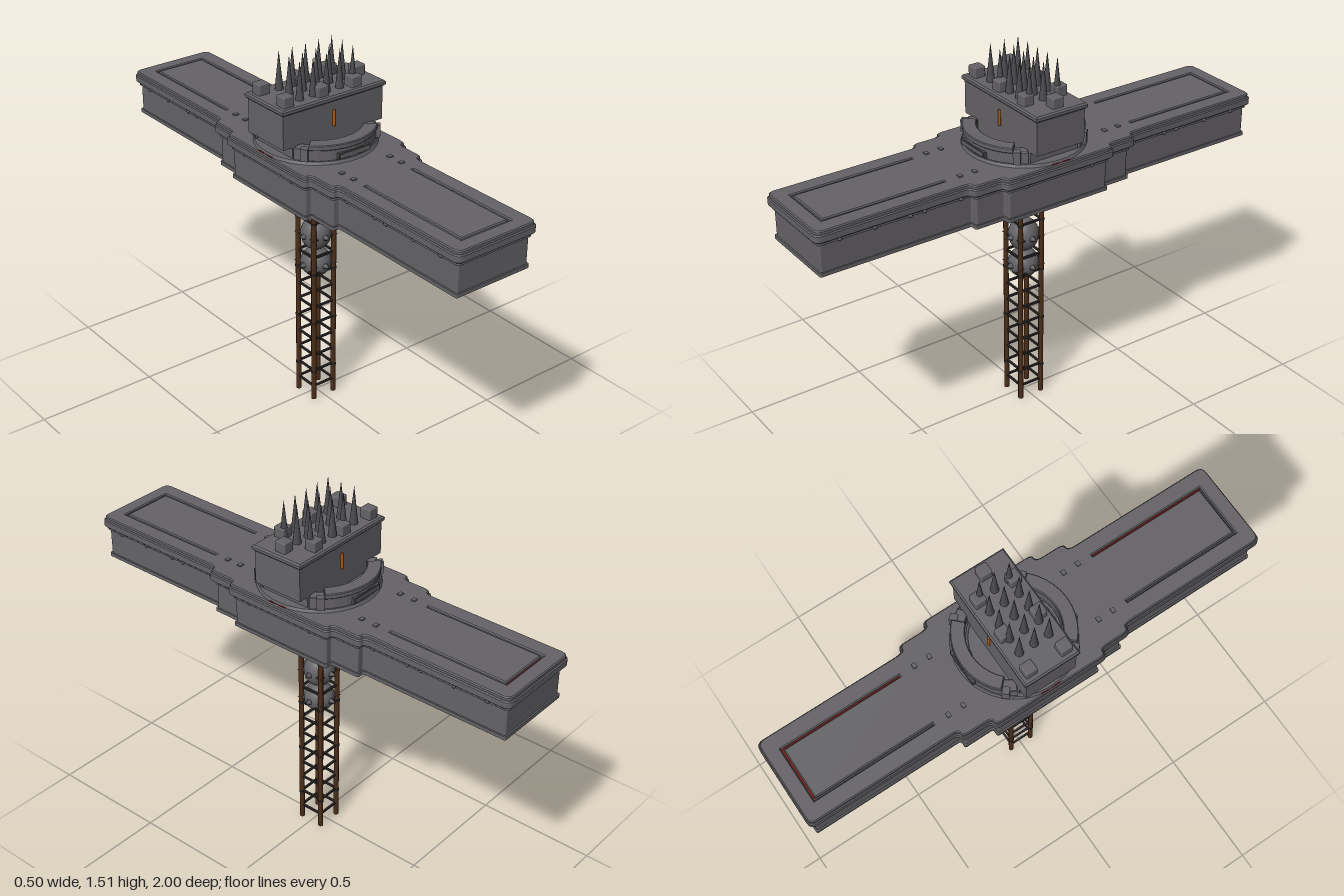
import * as THREE from 'three';
import { RoundedBoxGeometry } from 'three/addons/geometries/RoundedBoxGeometry.js';

const mat = (name, color) => {
  const m = new THREE.MeshStandardMaterial({ color });
  m.name = name;
  return m;
};
const faceted = (geo) => {
  const g = geo.toNonIndexed();
  g.computeVertexNormals();
  return g;
};

export function createModel() {
  const stone = mat('grey stone', 0x656367);
  const iron = mat('dark iron', 0x4c4b4e);
  const black = mat('black iron', 0x2b2829);
  const wood = mat('brown post', 0x4c2f1a);
  const orange = mat('orange glow', 0xb0560a);
  const red = mat('dark red', 0x7a1414);
  const root = new THREE.Group();
  root.name = 'spikedPlatform';

  const add = (name, geo, m, x = 0, y = 0, z = 0) => {
    const mesh = new THREE.Mesh(geo, m);
    mesh.name = name;
    mesh.position.set(x, y, z);
    root.add(mesh);
    return mesh;
  };
  const box = (name, m, w, h, d, x, y, z) => add(name, new THREE.BoxGeometry(w, h, d), m, x, y, z);

  // Stepped deck outline, inset by d, with rounded corners
  const outline = (d, r) => {
    const q = [[0.188 - d, 1 - d], [0.188 - d, 0.372 - d], [0.218 - d, 0.372 - d],
      [0.218 - d, 0.247 - d], [0.248 - d, 0.247 - d]];
    const down = q.concat(q.map(([x, z]) => [x, -z]).reverse());
    const pts = down.concat(down.map(([x, z]) => [-x, z]).reverse()).map((p) => new THREE.Vector2(...p));
    pts.reverse();
    const s = new THREE.Shape();
    pts.forEach((p, i) => {
      const a = pts[(i + pts.length - 1) % pts.length];
      const b = pts[(i + 1) % pts.length];
      const toward = (t) => p.clone().add(t.clone().sub(p).setLength(Math.min(r, t.distanceTo(p) * 0.45)));
      const p0 = toward(a), p1 = toward(b);
      if (i) s.lineTo(p0.x, p0.y); else s.moveTo(p0.x, p0.y);
      s.quadraticCurveTo(p.x, p.y, p1.x, p1.y);
    });
    return s;
  };
  // Upright extrusion from y0 to y1 with an optional bevel
  const slab = (name, shape, y0, y1, bevel = 0) => {
    const geo = new THREE.ExtrudeGeometry(shape, {
      depth: y1 - y0 - 2 * bevel, curveSegments: 5, bevelEnabled: bevel > 0,
      bevelSize: bevel, bevelThickness: bevel, bevelOffset: -bevel, bevelSegments: 1,
    });
    geo.rotateX(-Math.PI / 2);
    return add(name, geo, stone, 0, y0 + bevel, 0);
  };

  // Deck: foot rim, walls, neck and flange
  slab('deckFootRim', outline(0.016, 0.008), 0.96, 0.975);
  slab('deckWalls', outline(0.022, 0.008), 0.975, 1.085);
  slab('deckNeck', outline(0.014, 0.015), 1.085, 1.1);
  slab('deckFlange', outline(0, 0.03), 1.1, 1.132, 0.004);

  // Deck top with a U-shaped groove cut into each wing
  const top = outline(0.005, 0.03);
  for (const s of [-1, 1]) {
    const u = [[-0.116, 0.43], [-0.116, 0.936], [0.116, 0.936], [0.116, 0.43],
      [0.108, 0.43], [0.108, 0.928], [-0.108, 0.928], [-0.108, 0.43]];
    top.holes.push(new THREE.Path(u.map(([x, z]) => new THREE.Vector2(x, s * z))));
  }
  slab('deckTop', top, 1.126, 1.146, 0.004);

  // Groove floors
  for (const s of [-1, 1]) {
    box('grooveLeft', red, 0.008, 0.004, 0.506, 0.112, 1.133, s * 0.683);
    box('grooveRight', iron, 0.008, 0.004, 0.506, -0.112, 1.133, s * 0.683);
    box('grooveEnd', s < 0 ? red : iron, 0.216, 0.004, 0.008, 0, 1.133, s * 0.932);
    box('sideInlay', red, 0.006, 0.006, 0.08, s * 0.236, 1.146, 0);
  }

  // Studs below the flange and bolts on the deck
  for (const sx of [-1, 1]) for (const sz of [-1, 1]) {
    for (const [x, z] of [[0.172, 0.9], [0.172, 0.76], [0.172, 0.615], [0.172, 0.555], [0.172, 0.4], [0.23, 0.15]]) {
      add('flangeStud', new THREE.SphereGeometry(0.009, 8, 6), stone, sx * x, 1.09, sz * z);
    }
    for (const z of [0.3, 0.365]) box('deckBolt', stone, 0.02, 0.008, 0.016, sx * 0.114, 1.147, sz * z);
  }

  // Turntable disc and the two curved parapets
  add('turntable', new THREE.CylinderGeometry(0.234, 0.24, 0.012, 40), stone, 0, 1.151, 0);
  add('turntableRing', new THREE.TorusGeometry(0.175, 0.005, 6, 40).rotateX(Math.PI / 2), stone, 0, 1.158, 0);
  const arc = (r0, r1, half, side) => {
    const c = side * Math.PI / 2;
    const s = new THREE.Shape();
    s.absarc(0, 0, r1, c - half, c + half, false);
    s.absarc(0, 0, r0, c + half, c - half, true);
    s.closePath();
    return s;
  };
  for (const side of [-1, 1]) {
    slab('parapetBase', arc(0.185, 0.23, 1.03, side), 1.155, 1.205, 0.003);
    slab('parapetCap', arc(0.18, 0.235, 0.78, side), 1.2, 1.221, 0.003);
    box('parapetSlot', iron, 0.15, 0.024, 0.012, 0, 1.175, side * 0.226);
    box('parapetPlate', stone, 0.14, 0.016, 0.014, 0, 1.175, side * 0.228);
    for (const sx of [-1, 1]) {
      const b = box('parapetButtress', stone, 0.028, 0.05, 0.03, sx * 0.172, 1.185, side * 0.152);
      b.rotation.y = sx * side * 0.85;
    }
  }

  // Keep: base, main block, bevelled lid
  const rect = (w, d) => new THREE.Shape([[-w, -d], [w, -d], [w, d], [-w, d]].map((p) => new THREE.Vector2(...p)));
  slab('keepBase', rect(0.195, 0.108), 1.15, 1.2);
  slab('keepBlock', rect(0.236, 0.108), 1.2, 1.342);
  slab('keepLid', rect(0.244, 0.117), 1.337, 1.36, 0.006);
  // Diamond-section glowing slits
  for (const s of [-1, 1]) {
    add('glowSlit', faceted(new THREE.CylinderGeometry(0.007, 0.007, 0.064, 4)), orange, 0, 1.27, s * 0.11);
  }

  // Battlement blocks
  for (const [x, z] of [[-0.2, 0.075], [-0.2, -0.075], [-0.04, 0.075], [-0.04, -0.075],
    [0.118, 0.075], [0.118, -0.075], [0.196, 0]]) {
    add('battlement', new RoundedBoxGeometry(0.048, 0.05, 0.048, 2, 0.005), stone, x, 1.377, z);
  }
  // Grid of roof spikes
  for (let i = -2; i <= 2; i++) for (let j = -1; j <= 1; j++) {
    add('roofSpike', new THREE.ConeGeometry(0.0175, 0.16, 10), iron, i * 0.0625, 1.435, j * 0.063);
  }

  // Hanging funnel
  const prof = [[0, 0.81], [0.006, 0.81], [0.036, 0.885], [0.05, 0.885], [0.098, 0.935], [0.102, 0.94], [0.102, 0.962]];
  add('funnel', faceted(new THREE.LatheGeometry(prof.map((p) => new THREE.Vector2(...p)), 24)), stone);

  // Spiked balls hung below the funnel
  for (const [y, ry] of [[0.738, 0.07], [0.61, 0.062]]) {
    add('spikedBall', new THREE.SphereGeometry(0.062, 20, 14), stone, 0, y, 0).scale.y = ry / 0.062;
    for (let k = 0; k < 8; k++) {
      const dir = new THREE.Vector3(Math.sin(k * Math.PI / 4), 0, Math.cos(k * Math.PI / 4));
      const sp = add('ballSpike', new THREE.ConeGeometry(0.016, 0.034, 8), iron, dir.x * 0.07, y, dir.z * 0.07);
      sp.quaternion.setFromUnitVectors(new THREE.Vector3(0, 1, 0), dir);
    }
  }
  add('bottomSpike', new THREE.ConeGeometry(0.016, 0.035, 8), iron, 0, 0.542, 0).rotation.x = Math.PI;

  // Four round posts with collars
  for (const x of [-0.05, 0.05]) for (const z of [-0.05, 0.05]) {
    add('post', new THREE.CylinderGeometry(0.0105, 0.0105, 0.9, 8), wood, x, 0.45, z);
    for (const y of [0.13, 0.36, 0.585, 0.81]) {
      add('postCollar', new THREE.CylinderGeometry(0.0125, 0.0125, 0.009, 8), black, x, y, z);
    }
  }
  // Rungs on all four sides
  for (let i = 0; i < 11; i++) {
    const y = 0.06 + i * 0.075;
    for (const s of [-1, 1]) {
      box('rung', black, 0.09, 0.008, 0.008, 0, y, s * 0.05);
      box('rung', black, 0.008, 0.008, 0.09, s * 0.05, y, 0);
    }
  }
  return root;
}
